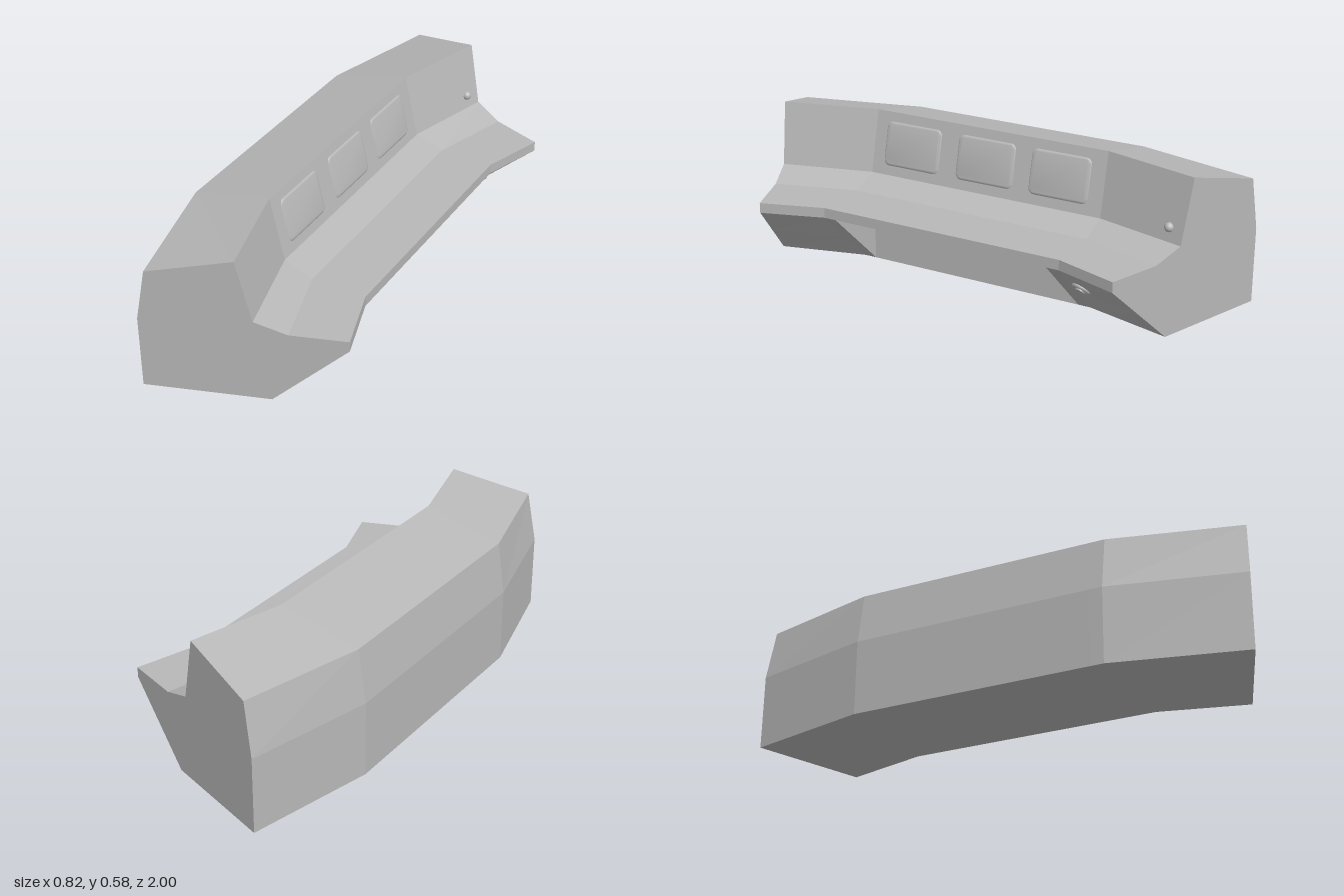
import * as THREE from 'three';
import { toCreasedNormals } from 'three/addons/utils/BufferGeometryUtils.js';

const grey = new THREE.MeshStandardMaterial({ color: 0xb8b8b8 });
grey.name = 'plain grey';

// Cross-section heights and x positions, from back foot over the top to the front foot
const HEIGHT = [0, 0.295, 0.5, 0.58, 0.335, 0.295, 0.295, 0.255, 0.1275, 0];
const MID_X = [-0.412, -0.412, -0.38, -0.06, -0.003, 0.113, 0.33, 0.33, 0.195, 0.06];
const END_X = [-0.29, -0.29, -0.255, 0.043, 0.095, 0.21, 0.41, 0.41, 0.28, 0.15];

const endZ = (x) => 1 - (x + 0.29) * 0.364; // slanted end plane

function middleSection(z, recessed) {
  return HEIGHT.map((y, i) => recessed && i === 8
    ? new THREE.Vector3(MID_X[9], 0.255, z)
    : new THREE.Vector3(MID_X[i], y, z));
}

function endSection(side) {
  return HEIGHT.map((y, i) => new THREE.Vector3(END_X[i], y, side * endZ(END_X[i])));
}

// Bent console body with a knee recess under the middle
function bodyGeometry() {
  const sections = [
    endSection(-1), middleSection(-0.5), middleSection(-0.45), middleSection(-0.45, true),
    middleSection(0.45, true), middleSection(0.45), middleSection(0.5), endSection(1),
  ];
  const points = [];
  const tri = (a, b, c) => {
    if (new THREE.Triangle(a, b, c).getArea() > 1e-7) points.push(a, b, c);
  };
  for (let s = 0; s < sections.length - 1; s++) {
    const p = sections[s], q = sections[s + 1];
    for (let i = 0; i < p.length; i++) {
      const j = (i + 1) % p.length;
      tri(p[i], q[i], q[j]);
      tri(p[i], q[j], p[j]);
    }
  }
  // End caps
  const right = sections[0].slice().reverse();
  const left = sections[sections.length - 1].slice().reverse();
  const outline = left.map((v) => new THREE.Vector2(v.x, v.y));
  for (const [a, b, c] of THREE.ShapeUtils.triangulateShape(outline, [])) {
    tri(left[a], left[b], left[c]);
    tri(right[a], right[c], right[b]);
  }
  const geometry = new THREE.BufferGeometry().setFromPoints(points);
  geometry.computeVertexNormals();
  return geometry;
}

// Rounded panel with a soft raised rim
function panelGeometry(width, height) {
  const bevel = 0.014, r = 0.014;
  const w = width / 2 - bevel, h = height / 2 - bevel;
  const shape = new THREE.Shape();
  shape.absarc(w - r, h - r, r, 0, Math.PI / 2);
  shape.absarc(-w + r, h - r, r, Math.PI / 2, Math.PI);
  shape.absarc(-w + r, -h + r, r, Math.PI, Math.PI * 1.5);
  shape.absarc(w - r, -h + r, r, Math.PI * 1.5, Math.PI * 2);
  shape.closePath();
  const geometry = new THREE.ExtrudeGeometry(shape, {
    depth: 0.004, bevelEnabled: true, bevelSize: bevel, bevelThickness: bevel,
    bevelSegments: 4, curveSegments: 5,
  });
  return toCreasedNormals(geometry, 0.6);
}

export function createModel() {
  const model = new THREE.Group();
  model.name = 'console';
  const add = (name, geometry, parent = model) => {
    const mesh = new THREE.Mesh(geometry, grey);
    mesh.name = name;
    parent.add(mesh);
    return mesh;
  };

  add('body', bodyGeometry());

  // Three screens on the sloped front panel
  const panel = panelGeometry(0.255, 0.183);
  const tilt = new THREE.Vector3(0.245, 0.057, 0).normalize();
  [0.325, 0, -0.317].forEach((z, i) => {
    const mount = new THREE.Group();
    mount.name = 'screenMount' + (i + 1);
    mount.position.set(-0.0315, 0.458, z).addScaledVector(tilt, -0.014);
    mount.rotation.z = Math.atan2(tilt.y, tilt.x);
    add('screen', panel, mount).rotation.y = Math.PI / 2;
    model.add(mount);
  });

  // Small round knob on the right wing
  add('knob', new THREE.SphereGeometry(0.018, 20, 14)).position.set(0.068, 0.387, -0.802);

  // Ringed socket on the sloped underside
  const socket = new THREE.Group();
  socket.name = 'socket';
  socket.position.set(0.254, 0.17, -0.555);
  socket.quaternion.setFromUnitVectors(
    new THREE.Vector3(0, 0, 1), new THREE.Vector3(0.255, -0.27, 0.064).normalize());
  add('socketRing', new THREE.TorusGeometry(0.028, 0.009, 10, 28), socket).position.z = 0.004;
  const pin = add('socketPin', new THREE.CylinderGeometry(0.012, 0.012, 0.03, 16), socket);
  pin.rotation.x = Math.PI / 2;
  model.add(socket);

  return model;
}
